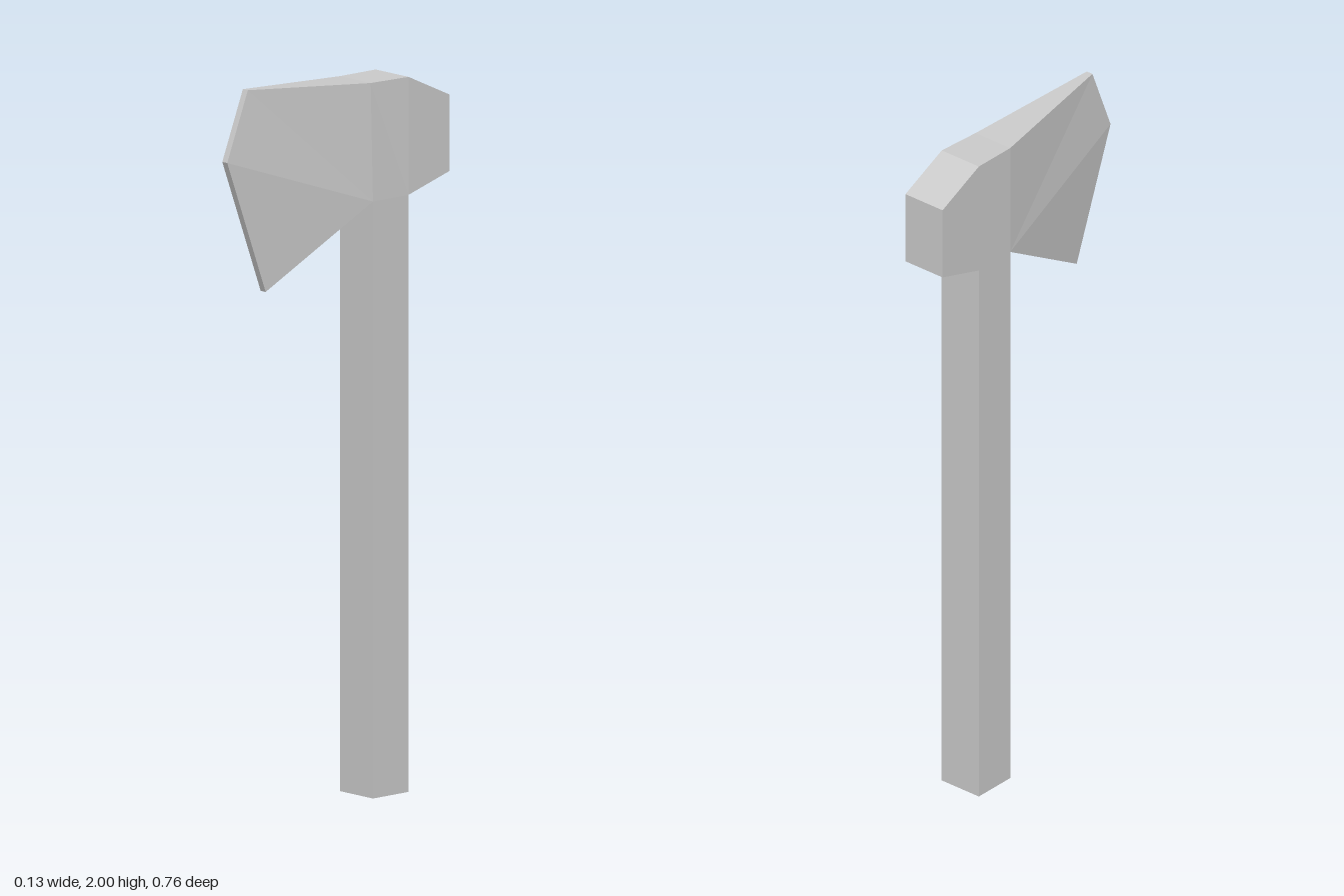
import * as THREE from 'three';

const HALF = 0.066; // half thickness of handle and poll
const EDGE = 0.01;  // half thickness at the cutting edge

// Head outline: [z, y, half thickness on -x, half thickness on +x]
const OUTLINE = [
  [-0.38, 1.69, HALF, HALF],   // 0 poll, bottom
  [-0.38, 1.90, HALF, HALF],   // 1 poll, top
  [-0.23, 1.97, HALF, HALF],   // 2 socket, top back
  [-0.10, 1.97, HALF, 0.057],  // 3 socket, top front
  [0.305, 2.00, EDGE, EDGE],   // 4 blade, upper corner
  [0.38, 1.81, EDGE, EDGE],    // 5 blade, tip
  [0.24, 1.435, EDGE, EDGE],   // 6 blade, lower corner
  [-0.10, 1.645, HALF, HALF],  // 7 socket, bottom front
  [-0.23, 1.645, HALF, HALF],  // 8 socket, bottom back
];

// Cheek regions as outline indices: poll, socket, blade
const CHEEKS = [[0, 1, 2, 8], [8, 2, 3, 7], [7, 3, 4, 5, 6]];

function headGeometry() {
  const left = OUTLINE.map(([z, y, , l]) => [l, y, z]);
  const right = OUTLINE.map(([z, y, r]) => [-r, y, z]);
  const positions = [];
  const tri = (a, b, c) => positions.push(...a, ...b, ...c);

  // Both cheeks, each region fanned from its first corner
  for (const c of CHEEKS) {
    for (let i = 1; i < c.length - 1; i++) {
      tri(left[c[0]], left[c[i]], left[c[i + 1]]);
      tri(right[c[0]], right[c[i + 1]], right[c[i]]);
    }
  }
  // Rim joining the two cheeks
  for (let i = 0; i < OUTLINE.length; i++) {
    const j = (i + 1) % OUTLINE.length;
    tri(left[i], right[i], right[j]);
    tri(left[i], right[j], left[j]);
  }

  const geometry = new THREE.BufferGeometry();
  geometry.setAttribute('position', new THREE.Float32BufferAttribute(positions, 3));
  geometry.computeVertexNormals();
  return geometry;
}

export function createModel() {
  const group = new THREE.Group();
  group.name = 'axe';
  const material = new THREE.MeshStandardMaterial({ color: 0xcccccc, flatShading: true });

  // Square handle
  const handle = new THREE.Mesh(new THREE.BoxGeometry(2 * HALF, 1.645, 0.13), material);
  handle.name = 'handle';
  handle.position.set(0, 1.645 / 2, -0.165);
  group.add(handle);

  // Axe head: poll, socket and tapering blade
  const head = new THREE.Mesh(headGeometry(), material);
  head.name = 'axeHead';
  group.add(head);

  return group;
}
